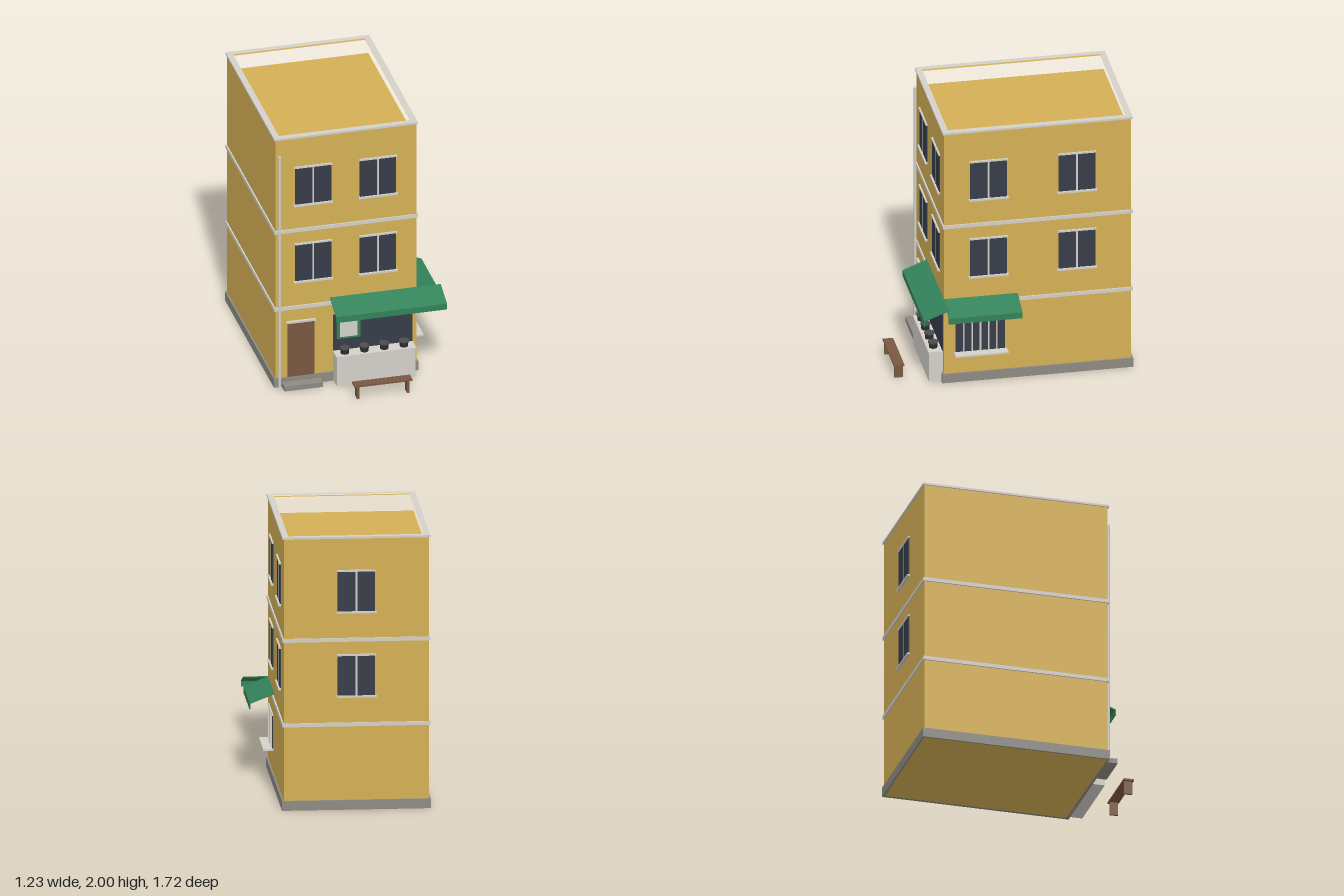
import * as THREE from 'three';

const mat = (name, color, side = THREE.FrontSide) => {
  const m = new THREE.MeshStandardMaterial({ color, side });
  m.name = name;
  return m;
};

export function createModel() {
  const root = new THREE.Group();
  root.name = 'cornerShopBuilding';

  const wall = mat('ochreWall', 0xd4b055);
  const trim = mat('paleTrim', 0xd3d0c9);
  const stone = mat('greyStone', 0x8c8a82);
  const glass = mat('darkGlass', 0x363c48);
  const green = mat('greenAwning', 0x32825a, THREE.DoubleSide);
  const wood = mat('brownWood', 0x7a5840);
  const iron = mat('darkIron', 0x2c2d30);
  const lidGrey = mat('lidGrey', 0x4c4c4c);

  const add = (name, geometry, material, parent = root) => {
    const m = new THREE.Mesh(geometry, material);
    m.name = name;
    parent.add(m);
    return m;
  };
  // Box given by its extents on each axis
  const box = (name, [x0, x1], [y0, y1], [z0, z1], material, parent = root) => {
    const m = add(name, new THREE.BoxGeometry(x1 - x0, y1 - y0, z1 - z0), material, parent);
    m.position.set((x0 + x1) / 2, (y0 + y1) / 2, (z0 + z1) / 2);
    return m;
  };

  // Wall faces of the block
  const L = -0.605, R = 0.435, B = -0.845, F = 0.515;
  const corners = (d) => [[L - d, B - d], [R + d, B - d], [R + d, F + d], [L - d, F + d]]
    .map(([x, z]) => new THREE.Vector2(x, -z));
  // Rectangular ring around the block: grown outwards by "out", inwards by "inn"
  const ring = (name, y0, y1, out, inn, material) => {
    const shape = new THREE.Shape(corners(out));
    shape.holes.push(new THREE.Path(corners(-inn)));
    const g = new THREE.ExtrudeGeometry(shape, { depth: y1 - y0, bevelEnabled: false });
    g.rotateX(-Math.PI / 2).translate(0, y0, 0);
    return add(name, g, material);
  };

  // Block, parapet, plinth and floor bands
  box('walls', [L, R], [0, 1.86], [B, F], wall);
  ring('parapet', 1.86, 1.985, 0, 0.03, wall);
  ring('parapetCap', 1.985, 2, 0.01, 0.035, trim);
  ring('plinth', 0, 0.07, 0.013, 0.01, stone);
  for (const y of [0.61, 1.23]) ring('floorBand', y, y + 0.027, 0.01, 0.01, trim);

  // Two-pane window, built facing +z around its bottom centre
  const windowAt = (x, y, z, turn) => {
    const g = new THREE.Group();
    g.name = 'window';
    box('pane', [-0.134, 0.134], [0, 0.295], [-0.005, 0.006], glass, g);
    box('mullion', [-0.006, 0.006], [0, 0.295], [0, 0.009], trim, g);
    box('sill', [-0.145, 0.145], [-0.014, 0], [-0.005, 0.019], trim, g);
    box('lintel', [-0.14, 0.14], [0.29, 0.303], [-0.005, 0.012], trim, g);
    g.position.set(x, y, z);
    g.rotation.y = turn;
    root.add(g);
  };
  for (const y of [0.835, 1.452]) {
    for (const x of [-0.327, 0.151]) windowAt(x, y, F, 0);
    for (const z of [0.192, -0.45]) windowAt(R, y, z, Math.PI / 2);
    windowAt(-0.085, y, B, Math.PI);
  }

  // Barred shop window on the side
  const shopWindow = new THREE.Group();
  shopWindow.name = 'barredWindow';
  root.add(shopWindow);
  box('pane', [R - 0.005, R + 0.006], [0.238, 0.483], [0.072, 0.432], glass, shopWindow);
  box('lintel', [R - 0.005, R + 0.01], [0.48, 0.49], [0.066, 0.438], trim, shopWindow);
  box('sill', [R - 0.005, 0.508], [0.225, 0.238], [0.058, 0.444], trim, shopWindow);
  for (let i = -2; i <= 2; i++) {
    const z = 0.252 + i * 0.06, w = i === 0 ? 0.006 : 0.004;
    box('bar', [R, R + 0.014], [0.238, 0.482], [z - w, z + w], trim, shopWindow);
  }

  // Door with lintel and step
  box('door', [-0.515, -0.32], [0.04, 0.502], [F - 0.005, F + 0.008], wood);
  box('doorLintel', [-0.527, -0.31], [0.502, 0.517], [F - 0.005, F + 0.018], trim);
  box('doorStep', [-0.56, -0.275], [0, 0.037], [F, 0.603], stone);

  // Serving hatch, counter and notice board
  box('servingHatch', [-0.18, 0.405], [0.23, 0.525], [F - 0.003, F + 0.005], glass);
  box('counter', [-0.178, 0.403], [0, 0.227], [F, 0.617], trim);
  box('counterTop', [-0.182, 0.407], [0.227, 0.237], [F, 0.622], trim);
  box('boardFrame', [-0.155, 0.02], [0.33, 0.477], [F, F + 0.014], green);
  box('boardSheet', [-0.133, -0.004], [0.345, 0.46], [F + 0.01, F + 0.018], trim);

  // Lidded pots on the counter
  for (const x of [-0.108, 0.037, 0.183, 0.328]) {
    const pot = new THREE.Group();
    pot.name = 'pot';
    pot.position.set(x, 0.237, 0.573);
    root.add(pot);
    add('potBody', new THREE.CylinderGeometry(0.032, 0.03, 0.038, 16), iron, pot).position.y = 0.019;
    add('potLid', new THREE.CylinderGeometry(0.037, 0.037, 0.009, 16), lidGrey, pot).position.y = 0.0425;
  }

  // Awnings: sloped sheet with a hanging valance, extruded along the wall
  const awning = (name, length) => {
    const profile = new THREE.Shape([[0, 0.667], [0.178, 0.598], [0.178, 0.552], [0.172, 0.552],
      [0.172, 0.592], [0, 0.659]].map((p) => new THREE.Vector2(...p)));
    return add(name, new THREE.ExtrudeGeometry(profile, { depth: length, bevelEnabled: false }), green);
  };
  const front = awning('frontAwning', 0.817);
  front.rotation.y = -Math.PI / 2;
  front.position.set(0.615, 0, F);
  awning('sideAwning', 0.535).position.set(R, 0, -0.022);

  // Downpipe
  add('downpipe', new THREE.CylinderGeometry(0.011, 0.011, 1.855, 12), trim).position.set(-0.576, 0.9325, 0.529);

  // Bench
  const bench = new THREE.Group();
  bench.name = 'bench';
  root.add(bench);
  box('benchSeat', [-0.108, 0.318], [0.098, 0.111], [0.78, 0.855], wood, bench);
  for (const x of [-0.08, 0.288]) box('benchLeg', [x - 0.008, x + 0.008], [0, 0.098], [0.787, 0.848], wood, bench);

  return root;
}
